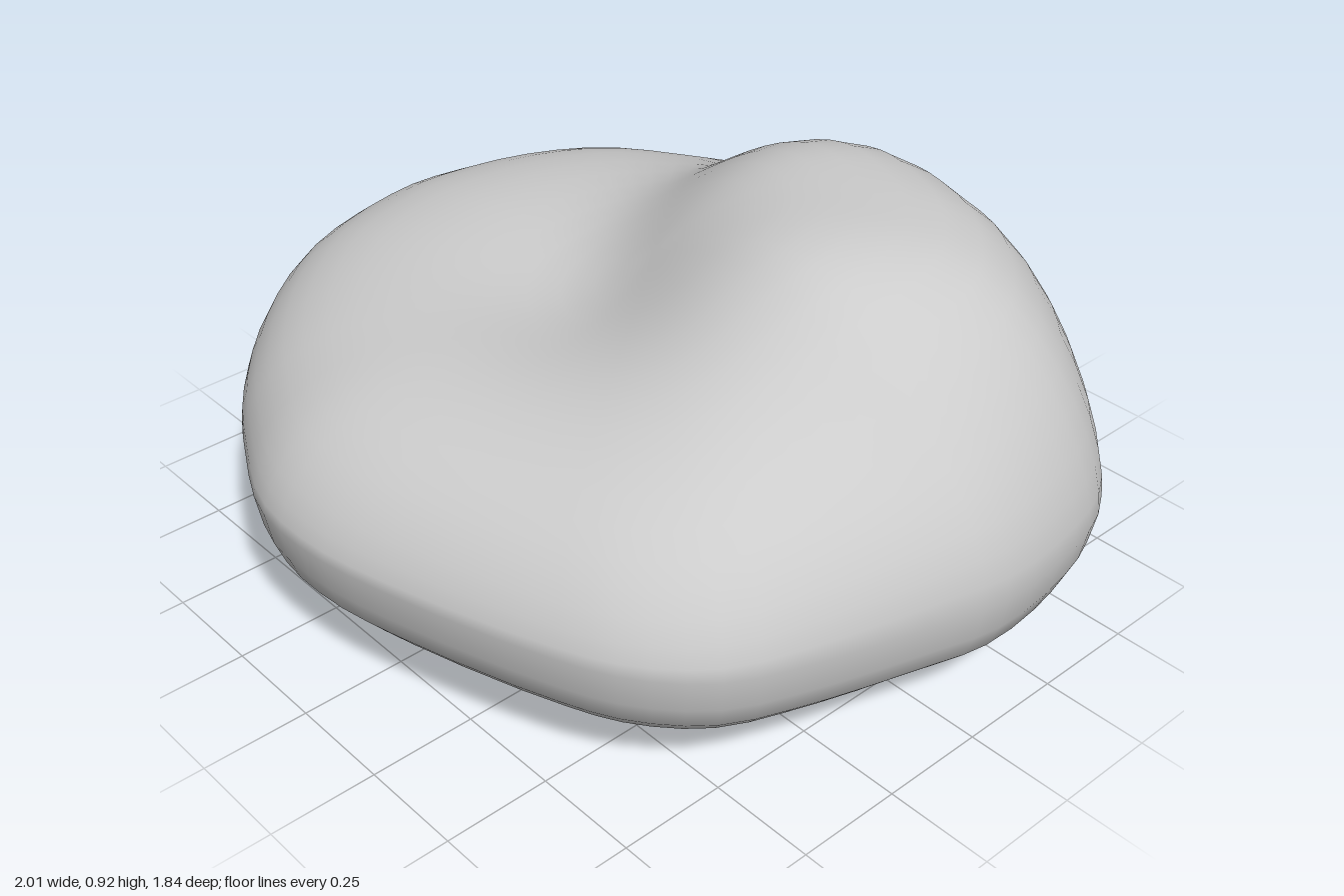
import * as THREE from 'three';

// Footprint as x, z pairs
const OUTLINE = [
  [1, -0.07], [0.96, 0.1], [0.89, 0.35], [0.81, 0.55], [0.68, 0.68], [0.52, 0.76],
  [0.15, 0.88], [-0.06, 0.92], [-0.25, 0.91], [-0.45, 0.82], [-0.62, 0.72], [-0.8, 0.56],
  [-0.94, 0.36], [-1, 0.13], [-1, -0.08], [-0.95, -0.33], [-0.83, -0.55], [-0.62, -0.71],
  [-0.42, -0.82], [-0.18, -0.89], [0.05, -0.92], [0.25, -0.9], [0.43, -0.84],
  [0.64, -0.75], [0.78, -0.64], [0.92, -0.48], [0.98, -0.3],
];
// Underside profile: share of the footprint radius, height
const UNDERSIDE = [[0.2, 0.003], [0.4, 0.015], [0.6, 0.04], [0.8, 0.09], [0.91, 0.14], [0.96, 0.19], [0.985, 0.25], [1, 0.33]];
// Shares of the radius for the rings over the top
const UPPER = [0.995, 0.98, 0.955, 0.92, 0.88, 0.83, 0.77, 0.7, 0.62, 0.54, 0.46, 0.38, 0.3, 0.22, 0.14, 0.07, 0];
const SIDES = 72;

const bump = (dx, dz, power) => Math.exp(-Math.pow(Math.hypot(dx, dz), power));
// The underside and rim rise slightly towards the front
const tilt = (z) => 0.03 * z;

// Height of the cushion top: sloping seat, back rest, side arm and a sat-in hollow
function topHeight(x, z) {
  const dx = x - 0.33;
  const dz = z + 0.37;
  const rest = 0.24 * bump(dx / (dx > 0 ? 0.62 : 0.53), dz / (dz > 0 ? 0.52 : 0.45), 4);
  const arm = 0.07 * bump((x - 0.5) / 0.38, (z - 0.18) / 0.3, 2);
  const hollow = 0.05 * bump((x + 0.08) / 0.33, (z - 0.13) / 0.28, 2);
  return 0.675 - 0.03 * z + rest + arm - hollow;
}

// Shoulder from the rim to the top: full on the left, softer at front and back
function upperY(s, p) {
  const x = p.x * s;
  const z = p.z * s;
  const rim = 0.33 + tilt(z);
  const softness = 0.5 + 0.12 * Math.min(0, p.x) + 0.2 * Math.abs(p.z);
  return rim + (topHeight(x, z) - rim) * Math.pow(1 - Math.pow(s, 5), softness);
}

function cushionGeometry() {
  const curve = new THREE.CatmullRomCurve3(OUTLINE.map(([x, z]) => new THREE.Vector3(x, 0, z)), true);
  const edge = Array.from({ length: SIDES }, (_, i) => curve.getPoint(i / SIDES));
  const pos = [0, 0, 0];
  const index = [];

  // Rings from the bottom centre, round the rim, to the top centre
  for (const [s, y] of UNDERSIDE) for (const p of edge) pos.push(p.x * s, y + tilt(p.z * s) * s, p.z * s);
  for (const s of UPPER.slice(0, -1)) for (const p of edge) pos.push(p.x * s, upperY(s, p), p.z * s);
  pos.push(0, upperY(UPPER.at(-1), edge[0]), 0);

  const rings = UNDERSIDE.length + UPPER.length - 1;
  const at = (r, i) => 1 + r * SIDES + (i % SIDES);
  const apex = 1 + rings * SIDES;
  for (let i = 0; i < SIDES; i++) {
    index.push(0, at(0, i), at(0, i + 1));
    for (let r = 0; r < rings - 1; r++) {
      index.push(at(r, i), at(r + 1, i), at(r + 1, i + 1), at(r, i), at(r + 1, i + 1), at(r, i + 1));
    }
    index.push(at(rings - 1, i), apex, at(rings - 1, i + 1));
  }
  const geometry = new THREE.BufferGeometry();
  geometry.setAttribute('position', new THREE.Float32BufferAttribute(pos, 3));
  geometry.setIndex(index);
  geometry.computeVertexNormals();
  return geometry;
}

export function createModel() {
  const group = new THREE.Group();
  group.name = 'beanBag';
  const cushion = new THREE.Mesh(cushionGeometry(), new THREE.MeshStandardMaterial({ color: 0xcccccc }));
  cushion.name = 'cushion';
  group.add(cushion);
  return group;
}
